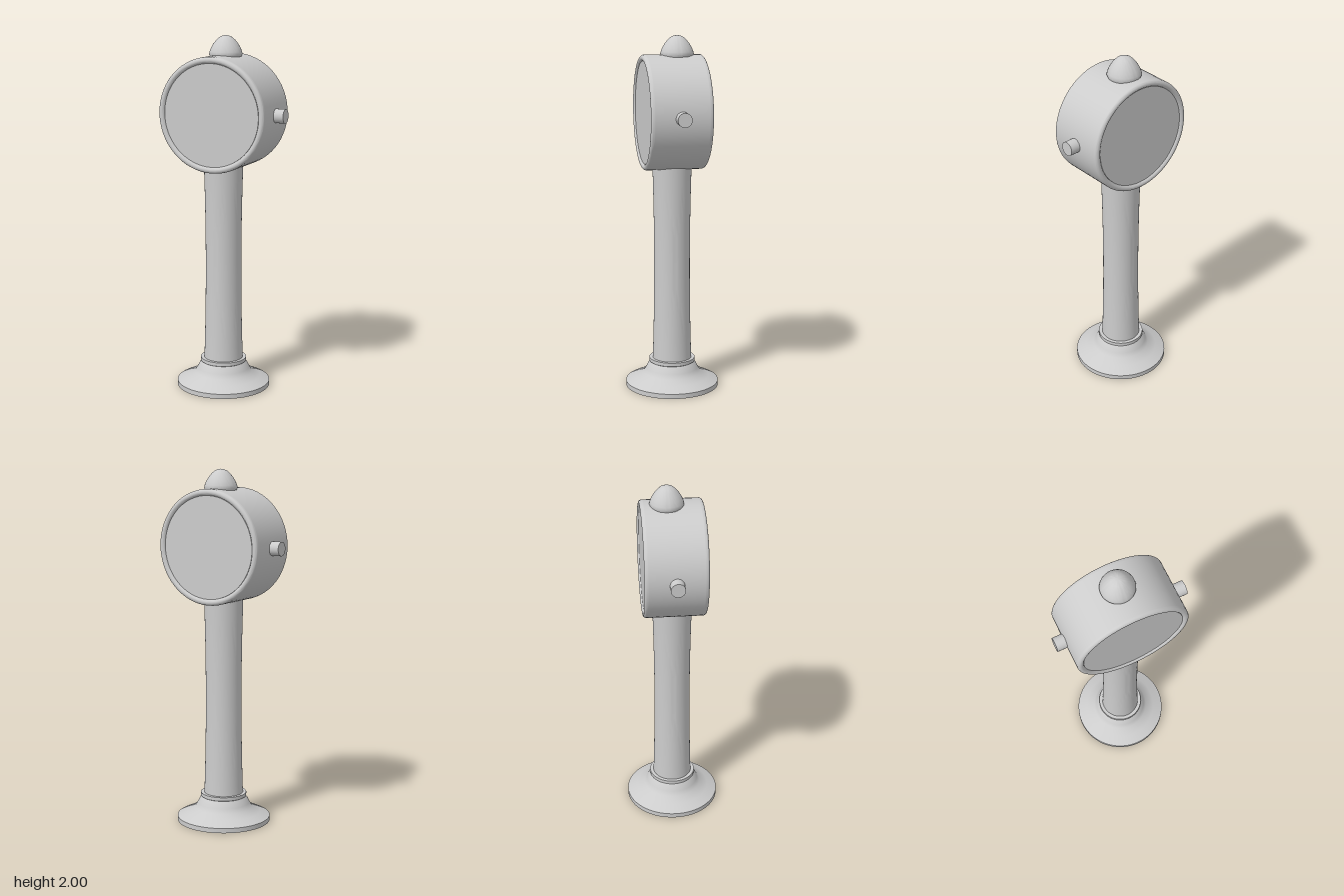
import * as THREE from 'three';
import { toCreasedNormals } from 'three/addons/utils/BufferGeometryUtils.js';

export function createModel() {
  const group = new THREE.Group();
  const grey = new THREE.MeshStandardMaterial({ color: 0xcccccc });
  grey.name = 'light grey';

  // Turned part from [radius, height] points, listed bottom to top
  const turned = (name, profile, crease = 0.6) => {
    const points = profile.map(([r, y]) => new THREE.Vector2(r, y));
    const mesh = new THREE.Mesh(toCreasedNormals(new THREE.LatheGeometry(points, 64), crease), grey);
    mesh.name = name;
    group.add(mesh);
    return mesh;
  };

  // Flared foot with a small collar
  turned('base', [
    [0, 0], [0.265, 0], [0.265, 0.027], [0.21, 0.053], [0.163, 0.077], [0.148, 0.102],
    [0.137, 0.125], [0.125, 0.14], [0.13, 0.143], [0.13, 0.163], [0, 0.163],
  ]);

  // Slightly waisted column, ending inside the drum
  const column = [];
  for (let i = 0; i <= 16; i++) {
    const t = i / 16;
    column.push([0.101 + 0.01 * (2 * t - 1) ** 2, 0.15 + t * 1.17]);
  }
  turned('column', column);

  // Round drum head with rolled rims and recessed faces, front and back
  const headY = 1.577;
  const rim = [[0, 0.16], [0.283, 0.16]];
  for (let i = 0; i <= 10; i++) {
    const a = Math.PI * (1 - i / 10);
    rim.push([0.3005 + 0.0175 * Math.cos(a), 0.153 + 0.017 * Math.sin(a)]);
  }
  rim.push([0.318, 0.148]);
  const drum = turned('drumHead', [...rim.map(([r, y]) => [r, -y]), ...rim.reverse()]);
  drum.rotation.x = Math.PI / 2;
  drum.position.y = headY;

  // Side pegs
  for (const side of [-1, 1]) {
    const peg = new THREE.Mesh(new THREE.CylinderGeometry(0.039, 0.039, 0.083, 32), grey);
    peg.name = side > 0 ? 'leftPeg' : 'rightPeg';
    peg.rotation.z = Math.PI / 2;
    peg.position.set(side * 0.3315, headY, 0);
    group.add(peg);
  }

  // Pointed dome on top, set a little to the rear
  const dome = turned('topDome', [
    [0, 1.885], [0.087, 1.885], [0.092, 1.898], [0.089, 1.912], [0.081, 1.932], [0.068, 1.954],
    [0.052, 1.974], [0.036, 1.989], [0.018, 1.997], [0, 2],
  ]);
  dome.position.z = -0.028;

  return group;
}
